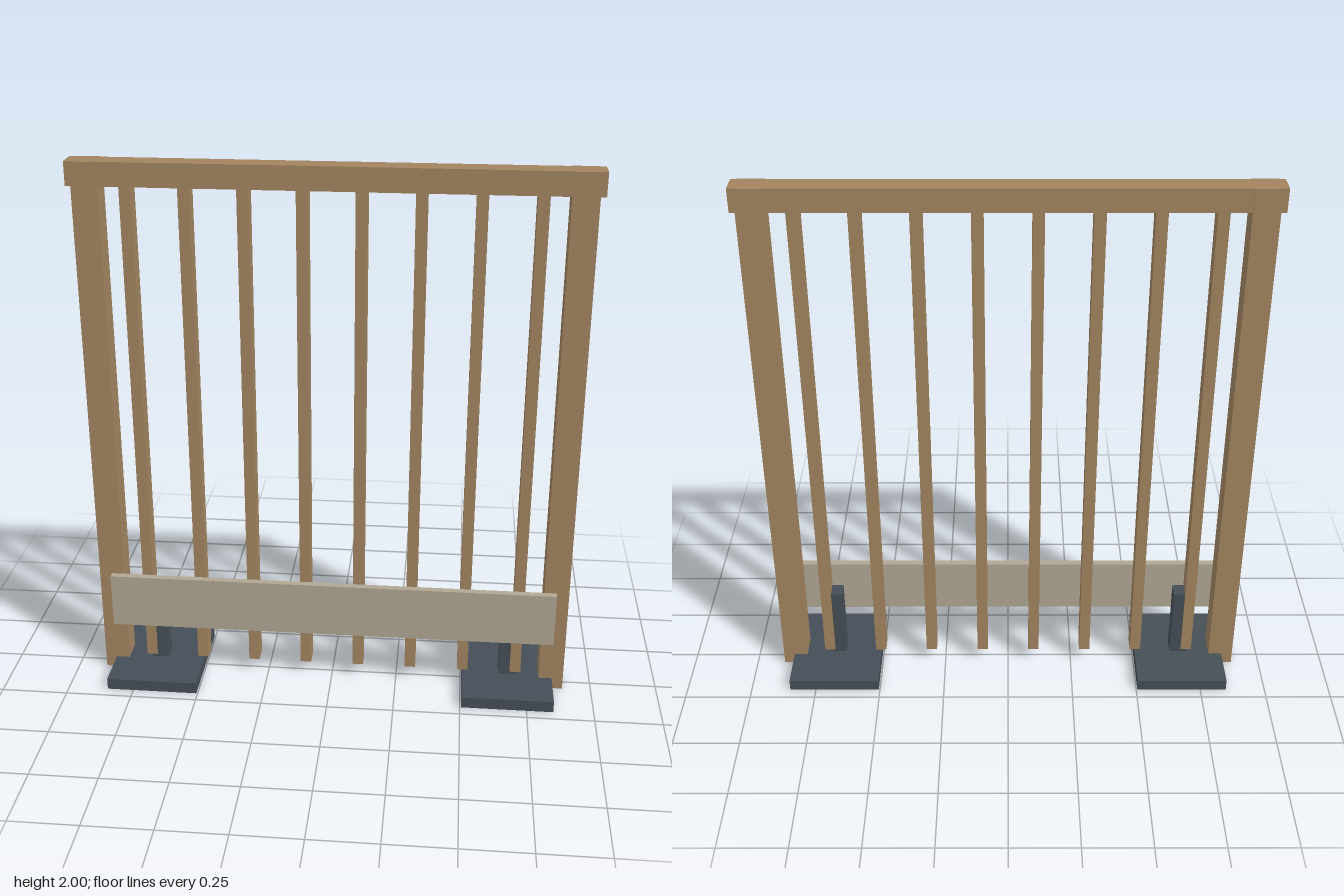
import * as THREE from 'three';

export function createModel() {
  const model = new THREE.Group();
  model.name = 'slattedPartition';

  const wood = new THREE.MeshStandardMaterial({ color: 0xa28460 });
  const paleWood = new THREE.MeshStandardMaterial({ color: 0xb0a692 });
  const metal = new THREE.MeshStandardMaterial({ color: 0x454e56 });

  // Box placed by its centre in x and z and its bottom and top in y
  function addBox(name, material, width, depth, bottom, top, x = 0, z = 0) {
    const mesh = new THREE.Mesh(new THREE.BoxGeometry(width, top - bottom, depth), material);
    mesh.name = name;
    mesh.position.set(x, (bottom + top) / 2, z);
    model.add(mesh);
  }

  // Top rail, a little thinner than the posts and reaching past them
  addBox('topRail', wood, 1.824, 0.082, 1.915, 2);

  // Posts, floor plates and the stub uprights standing on the plates
  for (const [side, s] of [['left', 1], ['right', -1]]) {
    addBox(side + 'Post', wood, 0.093, 0.093, 0, 2, s * 0.845);
    addBox(side + 'FootPlate', metal, 0.345, 0.414, 0, 0.044, s * 0.677);
    addBox(side + 'FootUpright', metal, 0.064, 0.06, 0.044, 0.33, s * 0.677);
  }

  // Evenly spaced slats hanging from the rail
  const slatCount = 8, spacing = 0.2025;
  for (let i = 0; i < slatCount; i++) {
    const x = (i - (slatCount - 1) / 2) * spacing;
    addBox('slat' + (i + 1), wood, 0.041, 0.064, 0.055, 1.915, x);
  }

  // Low board fixed to the front of the posts
  addBox('frontBoard', paleWood, 1.69, 0.026, 0.208, 0.418, 0, 0.0595);

  return model;
}
